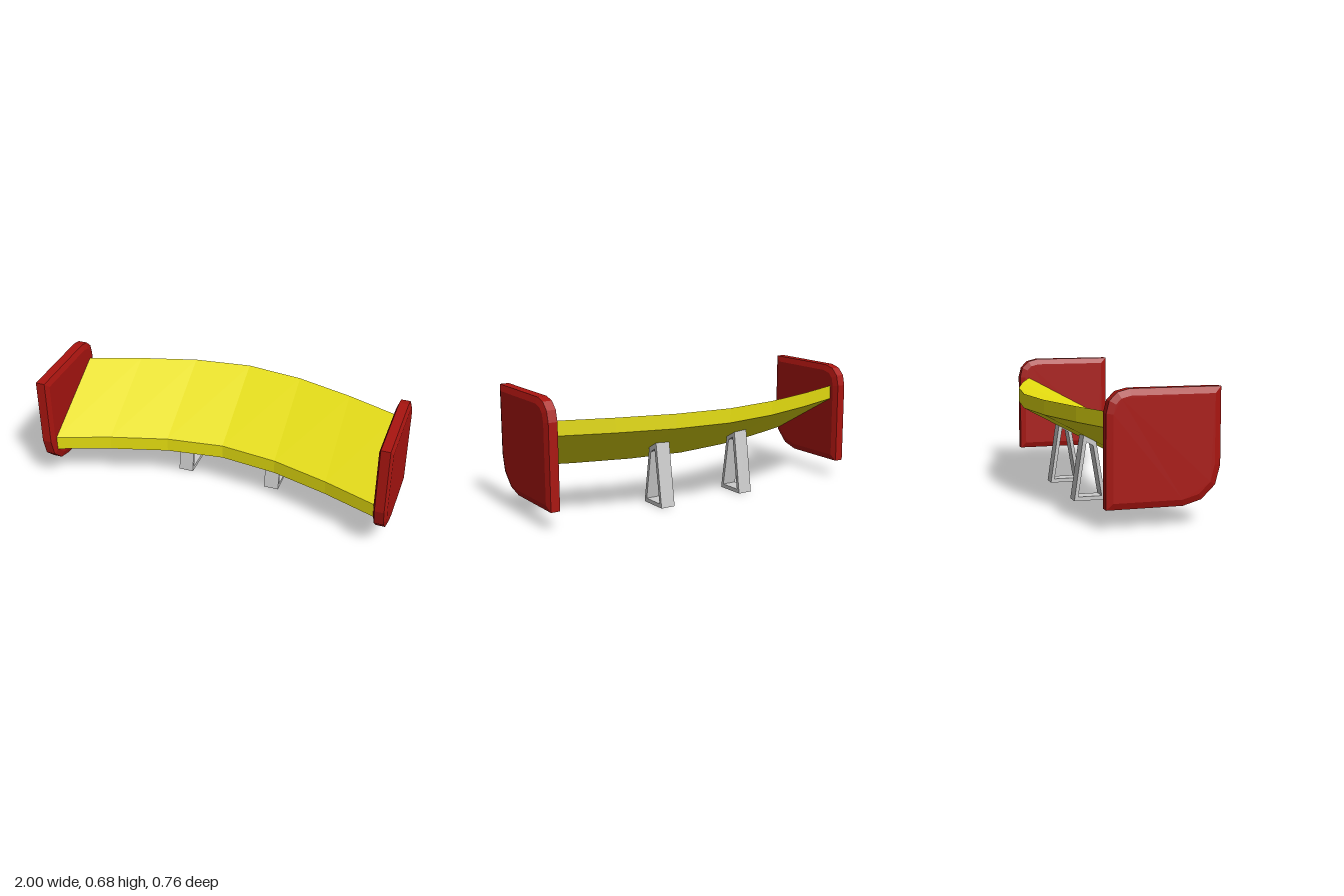
import * as THREE from 'three';

const paint = (color) => new THREE.MeshStandardMaterial({ color, flatShading: true });

// Extrude a (z, y) outline along x, centred on the given x.
function sideExtrude(shape, x, width, options = {}) {
  const bevel = options.bevelThickness ?? 0;
  const geometry = new THREE.ExtrudeGeometry(shape, {
    depth: width - 2 * bevel, bevelEnabled: false, ...options,
  });
  geometry.translate(0, 0, bevel - width / 2);
  geometry.rotateY(-Math.PI / 2); // shape x -> +z, depth -> -x
  geometry.translate(x, 0, 0);
  return geometry;
}

const outline = (points) => new THREE.Shape(points.map(([z, y]) => new THREE.Vector2(z, y)));

// Swept wing: a box sheared upwards to the back, its stations bowed in plan.
function wingGeometry() {
  const stations = [0, 0.32, 0.635, 0.925];
  const sweep = [-0.14, -0.1, -0.01, 0.095];
  const geometry = new THREE.BoxGeometry(6, 0.08, 0.48, 6, 1, 1);
  const p = geometry.attributes.position;
  for (let i = 0; i < p.count; i++) {
    const k = Math.round(p.getX(i));
    const n = Math.abs(k);
    const z = p.getZ(i);
    p.setXYZ(i, Math.sign(k) * stations[n], 0.39 + p.getY(i) - z * (0.26 / 0.48), z + sweep[n]);
  }
  const flat = geometry.toNonIndexed();
  flat.computeVertexNormals();
  return flat;
}

export function createModel() {
  const model = new THREE.Group();
  model.name = 'rearWing';
  const add = (name, geometry, material) => {
    const mesh = new THREE.Mesh(geometry, material);
    mesh.name = name;
    model.add(mesh);
  };
  const yellow = paint(0xe6de10);
  const red = paint(0xaa1510);
  const grey = paint(0xcccccc);

  add('wing', wingGeometry(), yellow);

  // End plate with two faceted round corners
  const plate = outline([
    [0.38, 0.68], [-0.085, 0.68], [-0.145, 0.665], [-0.185, 0.625], [-0.2, 0.565],
    [-0.2, 0.1], [0.19, 0.1], [0.285, 0.127], [0.357, 0.197], [0.382, 0.295],
  ]);
  const plateBevel = {
    bevelEnabled: true, bevelThickness: 0.012, bevelSize: 0.033, bevelOffset: -0.033, bevelSegments: 1,
  };

  // Tapered open frame reaching up to the underside of the wing
  const frame = outline([[0.005, 0], [-0.048, 0.322], [-0.119, 0.36], [-0.172, 0]]);
  frame.holes.push(outline([[-0.017, 0.022], [-0.15, 0.022], [-0.103, 0.322], [-0.065, 0.3]]));

  for (const [side, s] of [['left', 1], ['right', -1]]) {
    add(side + 'EndPlate', sideExtrude(plate, s * 0.9625, 0.075, plateBevel), red);
    add(side + 'Support', sideExtrude(frame, s * 0.265, 0.085), grey);
  }
  return model;
}
